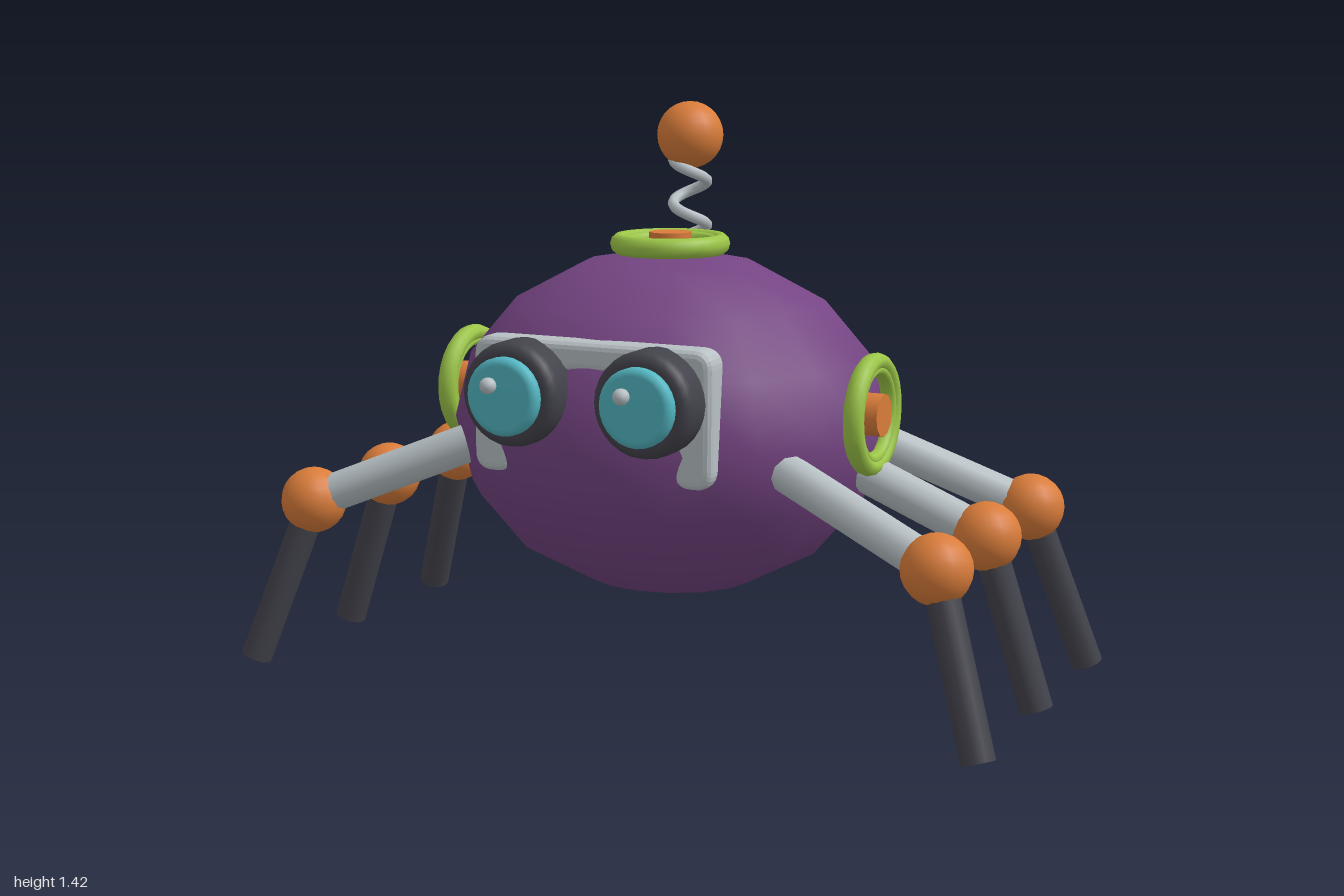
import * as THREE from 'three';

const mat = (name, color) => {
  const m = new THREE.MeshStandardMaterial({ color });
  m.name = name;
  return m;
};
const v = (x, y, z) => new THREE.Vector3(x, y, z);

export function createModel() {
  const purple = mat('purple shell', 0x754583);
  const orange = mat('orange joints', 0xd97c3a);
  const green = mat('green rings', 0x9cc648);
  const grey = mat('light grey metal', 0xb7c0c4);
  const dark = mat('dark rubber', 0x42424b);
  const cyan = mat('cyan lens', 0x52b5c1);

  const model = new THREE.Group();
  model.name = 'sixLeggedRobot';
  const add = (parent, name, geometry, material, pos = [0, 0, 0]) => {
    const mesh = new THREE.Mesh(geometry, material);
    mesh.name = name;
    mesh.position.set(...pos);
    parent.add(mesh);
    return mesh;
  };
  const group = (name, pos = [0, 0, 0]) => {
    const g = new THREE.Group();
    g.name = name;
    g.position.set(...pos);
    model.add(g);
    return g;
  };
  const lathe = (points, sides) =>
    new THREE.LatheGeometry(points.map(([r, y]) => new THREE.Vector2(r, y)), sides);
  // Straight rod between two points
  const rod = (parent, name, a, b, radius, material) => {
    const mesh = add(parent, name, new THREE.CylinderGeometry(radius, radius, a.distanceTo(b), 10), material);
    mesh.position.copy(a).add(b).multiplyScalar(0.5);
    mesh.quaternion.setFromUnitVectors(v(0, 1, 0), b.clone().sub(a).normalize());
  };

  // Egg-shaped body
  const midZ = -0.04;
  const body = add(model, 'body', new THREE.SphereGeometry(1, 16, 8), purple, [0, 0.635, midZ]);
  body.scale.set(0.55, 0.43, 0.49);

  // Ported rings: a round rim, a lower inner lip and a plug in the middle
  const port = (name, pos, tilt) => {
    const g = group(name, pos);
    g.rotation.z = tilt;
    const rim = add(g, 'rim', new THREE.TorusGeometry(0.127, 0.021, 10, 28), green);
    rim.scale.z = 1.2;
    const lip = add(g, 'innerLip', new THREE.TorusGeometry(0.108, 0.014, 8, 28), green);
    lip.scale.z = 1.4;
    rim.rotation.x = lip.rotation.x = Math.PI / 2;
    add(g, 'plug', new THREE.CylinderGeometry(0.052, 0.052, 0.1, 12), orange, [0, -0.021, 0]);
  };
  port('topPort', [0, 1.075, midZ], 0);
  port('leftPort', [0.549, 0.695, -0.01], -Math.PI / 2);
  port('rightPort', [-0.549, 0.695, -0.01], Math.PI / 2);

  // Spring antenna with a ball
  const antenna = group('antenna', [0, 0, -0.155]);
  const coil = [];
  for (let i = 0; i <= 48; i++) {
    const y = 1.02 + (0.26 * i) / 48;
    const a = ((y - 1.09) / 0.11) * Math.PI * 2 - Math.PI / 2;
    coil.push(v(0.042 * Math.cos(a), y, 0.042 * Math.sin(a)));
  }
  add(antenna, 'spring', new THREE.TubeGeometry(new THREE.CatmullRomCurve3(coil), 90, 0.014, 8), grey);
  add(antenna, 'antennaBall', new THREE.SphereGeometry(0.083, 20, 14), orange, [0, 1.335, 0]);

  // Three jointed legs on each side
  for (const side of [-1, 1]) {
    for (const [place, dir] of [['front', 1], ['middle', 0], ['rear', -1]]) {
      const leg = group(place + (side > 0 ? 'LeftLeg' : 'RightLeg'));
      const hip = v(side * 0.36, 0.612, midZ + dir * 0.245);
      const knee = v(side * 0.828, 0.42, midZ + dir * 0.354);
      const foot = v(side * 0.961, 0.014, midZ + dir * 0.434);
      rod(leg, 'upperLeg', hip, knee, 0.048, grey);
      rod(leg, 'lowerLeg', knee, foot, 0.04, dark);
      add(leg, 'knee', new THREE.SphereGeometry(0.083, 16, 12), orange, knee.toArray());
    }
  }

  // Arched face plate, thinner towards its lower ends
  const face = group('face');
  const s = new THREE.Shape();
  s.moveTo(-0.27, 0.58);
  s.quadraticCurveTo(-0.292, 0.58, -0.292, 0.605);
  s.lineTo(-0.292, 0.84);
  s.quadraticCurveTo(-0.292, 0.867, -0.265, 0.867);
  s.lineTo(0.265, 0.867);
  s.quadraticCurveTo(0.292, 0.867, 0.292, 0.84);
  s.lineTo(0.292, 0.605);
  s.quadraticCurveTo(0.292, 0.58, 0.27, 0.58);
  s.lineTo(0.25, 0.58);
  s.quadraticCurveTo(0.232, 0.58, 0.232, 0.605);
  s.lineTo(0.222, 0.65);
  s.quadraticCurveTo(0.2, 0.83, 0.04, 0.835);
  s.lineTo(-0.04, 0.835);
  s.quadraticCurveTo(-0.2, 0.83, -0.222, 0.65);
  s.lineTo(-0.232, 0.605);
  s.quadraticCurveTo(-0.232, 0.58, -0.25, 0.58);
  const plate = new THREE.ExtrudeGeometry(s, {
    depth: 0.04, bevelThickness: 0.02, bevelSize: 0.019, bevelSegments: 3, curveSegments: 6,
  });
  const p = plate.attributes.position;
  for (let i = 0; i < p.count; i++) {
    const low = THREE.MathUtils.clamp((0.85 - p.getY(i)) / 0.28, 0, 1);
    p.setZ(i, 0.06 - (0.06 - p.getZ(i)) * (1 - 0.4 * low));
  }
  plate.computeVertexNormals();
  add(face, 'facePlate', plate, grey, [0, 0, 0.335]);

  // Eyes: rubber housing, lens and a small bead
  const housing = [[0, 0], [0.112, 0], [0.12, 0.006], [0.125, 0.02], [0.125, 0.09], [0.121, 0.108],
    [0.108, 0.118], [0.095, 0.118], [0, 0.118]];
  const lens = [[0.088, 0], [0.093, 0.008], [0.093, 0.024], [0.086, 0.034], [0.075, 0.036], [0, 0.036]];
  for (const side of [-1, 1]) {
    const eye = group(side > 0 ? 'leftEye' : 'rightEye', [side * 0.172, 0.762, 0.36]);
    eye.rotation.x = Math.PI / 2;
    add(eye, 'housing', lathe(housing, 28), dark);
    add(eye, 'lens', lathe(lens, 28), cyan, [0, 0.115, 0]);
    add(eye, 'bead', new THREE.SphereGeometry(0.02, 12, 8), grey, [-0.026, 0.16, -0.028]);
  }
  return model;
}
